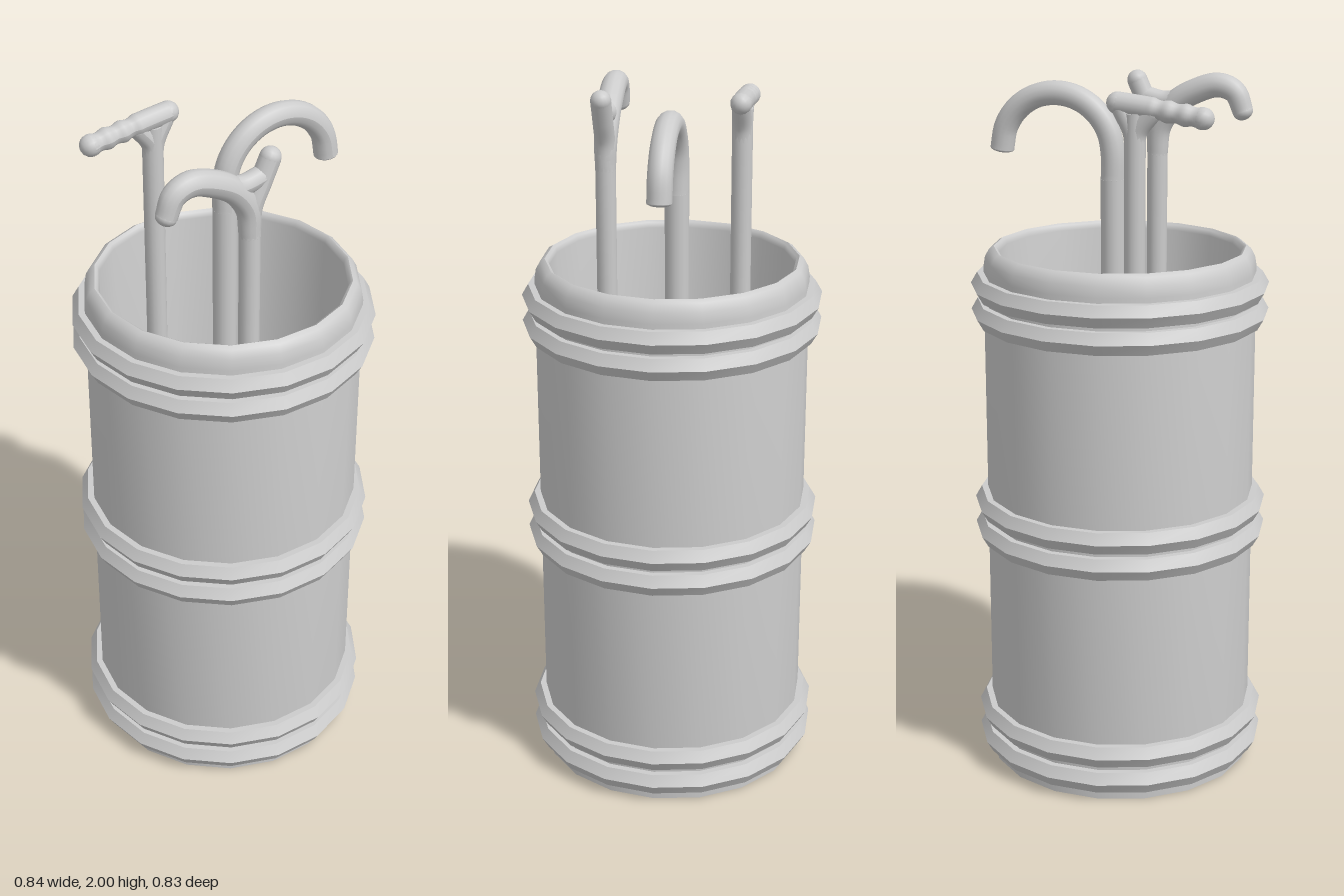
import * as THREE from 'three';
import { toCreasedNormals } from 'three/addons/utils/BufferGeometryUtils.js';

const material = new THREE.MeshStandardMaterial({ color: 0xcccccc });
const SIDES = 18;
const FLOOR = 0.06;

function add(parent, name, geometry, x = 0, y = 0, z = 0) {
  const mesh = new THREE.Mesh(geometry, material);
  mesh.name = name;
  mesh.position.set(x, y, z);
  parent.add(mesh);
  return mesh;
}

// Round rod along a smooth path in the xy plane; radiusAt(t) varies its thickness
function rod(parent, name, points, radiusAt, capDepth = 1) {
  const path = new THREE.CatmullRomCurve3(points.map(([x, y]) => new THREE.Vector3(x, y, 0)));
  const rings = 40, sides = 14;
  const geometry = new THREE.TubeGeometry(path, rings, 1, sides);
  const pos = geometry.attributes.position;
  const p = new THREE.Vector3();
  for (let i = 0; i <= rings; i++) {
    const centre = path.getPointAt(i / rings);
    for (let j = 0; j <= sides; j++) {
      const k = i * (sides + 1) + j;
      p.fromBufferAttribute(pos, k).sub(centre).multiplyScalar(radiusAt(i / rings)).add(centre);
      pos.setXYZ(k, p.x, p.y, p.z);
    }
  }
  geometry.computeVertexNormals();
  add(parent, name, geometry);
  // Rounded ends
  for (const t of [0, 1]) {
    const end = path.getPointAt(t);
    const cap = add(parent, name + 'End', new THREE.SphereGeometry(radiusAt(t), 14, 10), end.x, end.y, 0);
    cap.quaternion.setFromUnitVectors(new THREE.Vector3(0, 1, 0), path.getTangentAt(t));
    cap.scale.y = capDepth;
  }
}

// Straight shaft with a wider foot resting on the floor of the stand
function shaft(parent, x, top) {
  const height = top - FLOOR;
  add(parent, 'shaft', new THREE.CylinderGeometry(0.029, 0.029, height, 16), x, FLOOR + height / 2, 0);
  add(parent, 'footTip', new THREE.CylinderGeometry(0.034, 0.05, 0.08, 16), x, FLOOR + 0.04, 0);
}

function cane(parent, name, z) {
  const group = new THREE.Group();
  group.name = name;
  group.position.z = z;
  parent.add(group);
  return group;
}

export function createModel() {
  const model = new THREE.Group();
  model.name = 'caneStand';

  // Hollow stand: underside, outer wall, rounded rim, inner wall and floor
  const profile = [
    [0, 0], [0.385, 0], [0.385, 1.47], [0.38, 1.5], [0.368, 1.522], [0.355, 1.53],
    [0.347, 1.525], [0.343, 1.51], [0.325, FLOOR], [0, FLOOR],
  ].map(([r, y]) => new THREE.Vector2(r, y));
  const body = new THREE.LatheGeometry(profile, SIDES, Math.PI / 2);
  add(model, 'standBody', toCreasedNormals(body, 0.8));

  // Three pairs of faceted hoops
  for (const y of [0.06, 0.14, 0.71, 0.787, 1.35, 1.425]) {
    const hoop = new THREE.TorusGeometry(0.385, 0.036, 6, SIDES);
    hoop.rotateX(Math.PI / 2);
    add(model, 'hoop', toCreasedNormals(hoop, 0.7), 0, y, 0);
  }

  // Crook cane: straight shaft bent over into a half circle
  const crook = cane(model, 'crookCane', -0.015);
  const crookPoints = [[0.016, FLOOR], [0.016, 0.6], [0.016, 1.2], [0.016, 1.6], [0.016, 1.72]];
  for (let i = 0; i <= 8; i++) {
    const a = Math.PI * (1 - i / 8);
    crookPoints.push([0.181 + 0.165 * Math.cos(a), 1.788 + 0.162 * Math.sin(a)]);
  }
  const crookPath = new THREE.CatmullRomCurve3(crookPoints.slice(4).map(([x, y]) => new THREE.Vector3(x, y, 0)));
  add(crook, 'shaft', new THREE.CylinderGeometry(0.034, 0.034, 1.72 - FLOOR, 16), 0.016, (1.72 + FLOOR) / 2, 0);
  rod(crook, 'hook', crookPath.getPoints(20).map((p) => [p.x, p.y]), () => 0.034, 0.3);

  // Curved-handle cane: drooping grip on one side, short horn on the other
  const curved = cane(model, 'curvedHandleCane', 0.193);
  shaft(curved, -0.045, 1.82);
  rod(curved, 'grip', [[-0.045, 1.76], [-0.052, 1.84], [-0.095, 1.905], [-0.16, 1.945],
    [-0.225, 1.963], [-0.272, 1.945], [-0.296, 1.892]], (t) => 0.029 + 0.007 * Math.sin(Math.PI * t), 0.8);
  rod(curved, 'horn', [[-0.045, 1.76], [-0.04, 1.84], [-0.012, 1.905], [0.016, 1.967]], () => 0.029);
  rod(curved, 'handleBridge', [[-0.13, 1.928], [-0.07, 1.912], [-0.012, 1.922]], () => 0.028);

  // Grooved-handle cane: nearly straight grip with finger grooves below
  const grooved = cane(model, 'groovedHandleCane', -0.18);
  shaft(grooved, -0.105, 1.93);
  rod(grooved, 'grip', [[-0.293, 1.925], [-0.21, 1.936], [-0.13, 1.947], [-0.056, 1.955]],
    (t) => 0.028 + (t < 0.62 ? 0.0025 * Math.cos(t * 10 * Math.PI) : 0.002));
  rod(grooved, 'frontBrace', [[-0.105, 1.82], [-0.112, 1.88], [-0.15, 1.932]], () => 0.027);
  rod(grooved, 'backBrace', [[-0.105, 1.82], [-0.098, 1.88], [-0.068, 1.94]], () => 0.027);

  return model;
}
